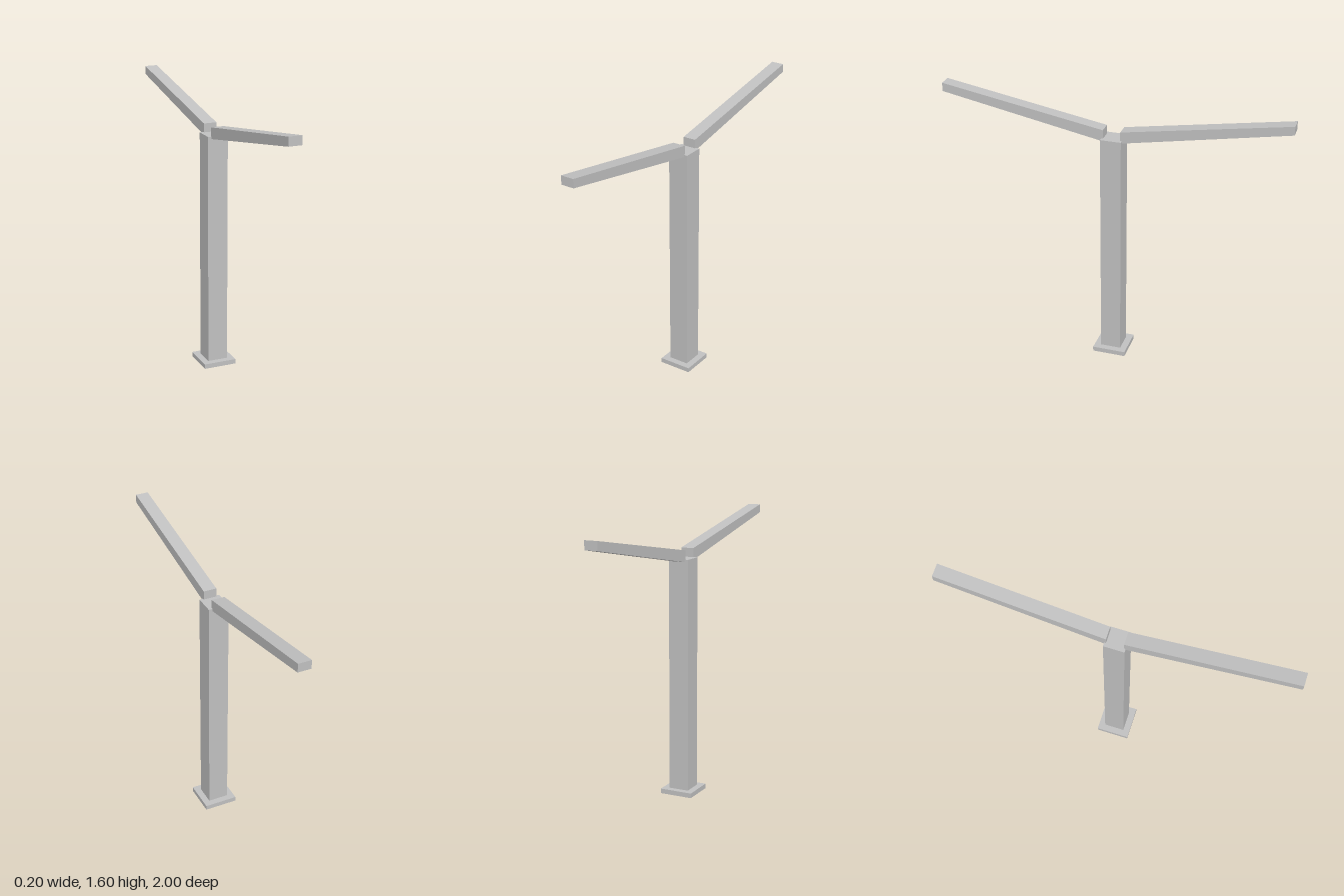
import * as THREE from 'three';

export function createModel() {
  const model = new THREE.Group();
  const steel = new THREE.MeshStandardMaterial({ color: 0xc0c0c0 });
  steel.name = 'greySteel';

  const add = (name, geometry, y = 0) => {
    const mesh = new THREE.Mesh(geometry, steel);
    mesh.name = name;
    mesh.position.y = y;
    model.add(mesh);
    return mesh;
  };

  // Square foot plate and post
  const plateTop = 0.028, postTop = 1.386;
  add('basePlate', new THREE.BoxGeometry(0.196, plateTop, 0.196), plateTop / 2);
  add('post', new THREE.BoxGeometry(0.12, postTop - plateTop, 0.12), (postTop + plateTop) / 2);

  // Tapered arm: side profile (distance outward, height) extruded across its width
  const width = 0.076;
  const profile = new THREE.Shape([
    new THREE.Vector2(0.05, 1.37),
    new THREE.Vector2(1, 1.55),
    new THREE.Vector2(1, 1.6),
    new THREE.Vector2(0.05, 1.437),
  ]);
  const armGeometry = new THREE.ExtrudeGeometry(profile, { depth: width, bevelEnabled: false });
  armGeometry.translate(0, 0, -width / 2);

  // One arm reaching forward, one backward
  add('frontArm', armGeometry).rotation.y = -Math.PI / 2;
  add('backArm', armGeometry).rotation.y = Math.PI / 2;

  return model;
}
